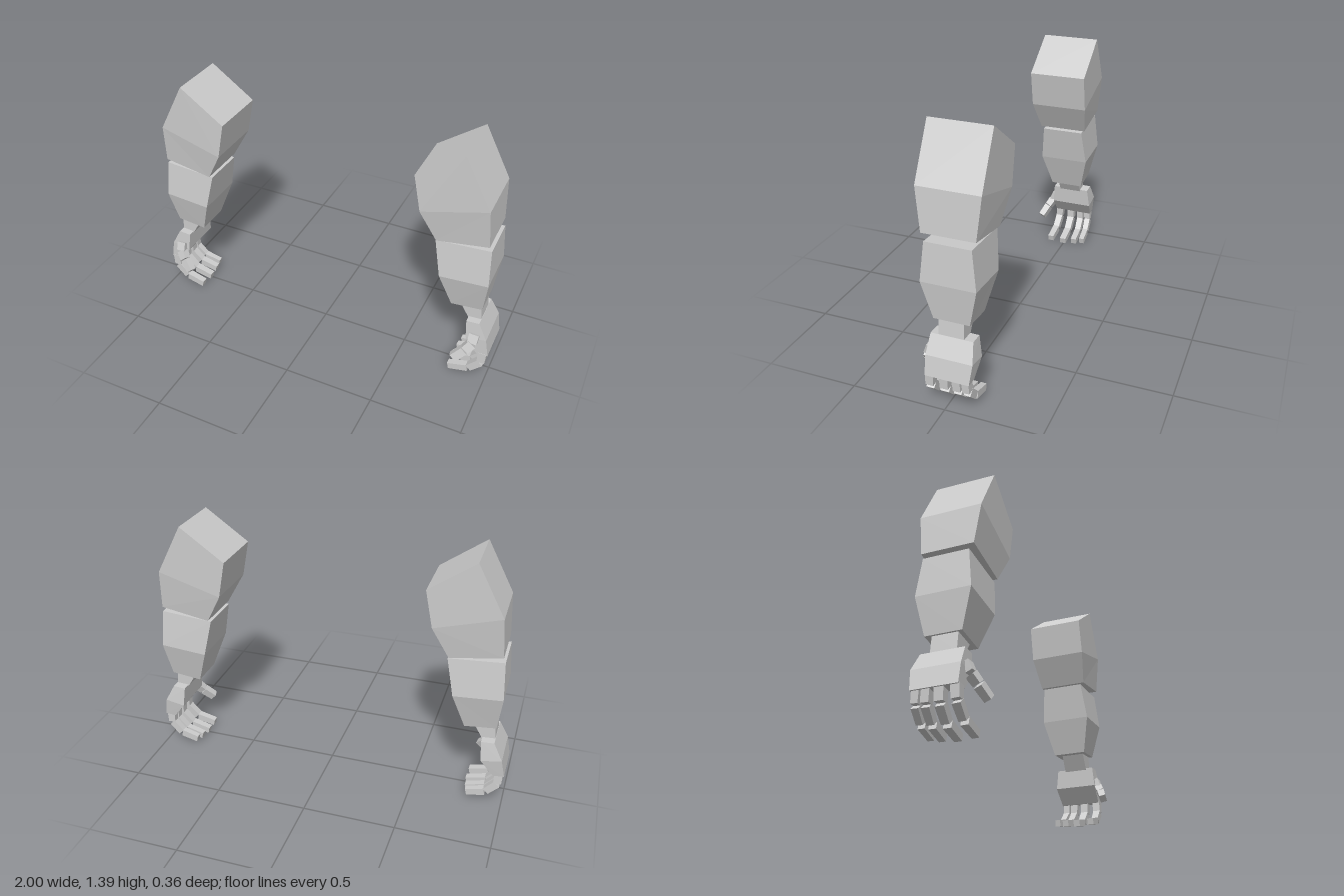
import * as THREE from 'three';

const material = new THREE.MeshStandardMaterial({ color: 0xcccccc, flatShading: true });

// Four-sided solid from sections [innerX, innerY, outerX, outerY, frontZ, backZ], listed top to bottom
function loft(sections) {
  const pos = [], index = [];
  for (const [ix, iy, ox, oy, f, b] of sections) {
    pos.push(ix, iy, f, ox, oy, f, ox, oy, b, ix, iy, b);
  }
  const quad = (a, b, c, d) => index.push(a, b, c, a, c, d);
  for (let s = 0; s < sections.length - 1; s++) {
    for (let i = 0; i < 4; i++) {
      const j = (i + 1) % 4, t = s * 4, u = t + 4;
      quad(u + i, u + j, t + j, t + i);
    }
  }
  const e = (sections.length - 1) * 4;
  quad(0, 1, 2, 3);
  quad(e + 3, e + 2, e + 1, e);
  const g = new THREE.BufferGeometry();
  g.setAttribute('position', new THREE.Float32BufferAttribute(pos, 3));
  g.setIndex(index);
  return finish(g);
}

function finish(g) {
  const flat = g.toNonIndexed();
  flat.deleteAttribute('uv');
  flat.computeVertexNormals();
  return flat;
}

// Tapered box running from a to b; thick is measured in the bending plane, wide across it
function bone(a, b, thick, wide, taper) {
  const dir = new THREE.Vector3().subVectors(b, a);
  const g = new THREE.BoxGeometry(thick, dir.length(), wide);
  const p = g.attributes.position;
  for (let i = 0; i < p.count; i++) {
    if (p.getY(i) > 0) p.setXYZ(i, p.getX(i) * taper, p.getY(i), p.getZ(i) * taper);
  }
  const y = dir.normalize();
  const x = new THREE.Vector3().crossVectors(y, new THREE.Vector3(0, 0, 1)).normalize();
  const z = new THREE.Vector3().crossVectors(x, y);
  const m = new THREE.Matrix4().makeBasis(x, y, z);
  m.setPosition(a.clone().add(b).multiplyScalar(0.5));
  return finish(g.applyMatrix4(m));
}

// Chain of bones along a path with small gaps at the joints
function digit(name, points, thick, wide) {
  const parts = [];
  for (let i = 0; i < points.length - 1; i++) {
    const a = points[i].clone().lerp(points[i + 1], i ? 0.05 : 0);
    const b = points[i].clone().lerp(points[i + 1], 0.96);
    const k = 1 - 0.06 * i;
    parts.push([name + 'Segment' + (i + 1), bone(a, b, thick * k, wide * k, 0.92)]);
  }
  return parts;
}

// Mirror across x, swapping corners so that faces keep pointing outward
function mirrored(geometry) {
  const g = geometry.clone(), p = g.attributes.position;
  const v = [0, 1, 2].map(() => new THREE.Vector3());
  for (let i = 0; i < p.count; i += 3) {
    v.forEach((q, k) => q.fromBufferAttribute(p, i + k));
    [v[0], v[2], v[1]].forEach((q, k) => p.setXYZ(i + k, -q.x, q.y, q.z));
  }
  g.computeVertexNormals();
  return g;
}

export function createModel() {
  const parts = [
    ['upperArm', loft([
      [0.53, 1.23, 0.77, 1.40, 0.138, -0.182],
      [0.57, 1.03, 0.914, 1.13, 0.14, -0.182],
      [0.66, 0.865, 0.93, 0.91, 0.115, -0.157]])],
    ['forearm', loft([
      [0.652, 0.853, 0.94, 0.875, 0.097, -0.14],
      [0.695, 0.65, 0.953, 0.67, 0.12, -0.162],
      [0.763, 0.452, 0.93, 0.47, 0.072, -0.115]])],
    ['wrist', loft([
      [0.80, 0.47, 0.92, 0.48, 0.05, -0.082],
      [0.86, 0.37, 0.93, 0.37, 0.05, -0.082]])],
    ['palm', loft([
      [0.86, 0.38, 0.93, 0.385, 0.09, -0.13],
      [0.87, 0.27, 0.98, 0.29, 0.098, -0.145],
      [0.94, 0.18, 1.0, 0.185, 0.098, -0.132]])],
  ];

  // Fingers: [name, z at knuckle, z at tip, length scale, width]
  const curl = [[0, 0.01], [-0.002, -0.06], [-0.068, -0.128], [-0.185, -0.156]];
  const fingers = [
    ['indexFinger', 0.078, 0.088, 0.98, 0.044],
    ['middleFinger', 0.004, 0.004, 1, 0.046],
    ['ringFinger', -0.06, -0.068, 0.96, 0.042],
    ['littleFinger', -0.108, -0.12, 0.91, 0.038],
  ];
  for (const [name, z0, z1, k, w] of fingers) {
    const path = curl.map(([x, y], i) =>
      new THREE.Vector3(0.97 + x * k, 0.18 + y * k, z0 + (z1 - z0) * i / 3));
    parts.push(...digit(name, path, 0.046, w));
  }

  // Thumb, reaching forward and inward
  const thumb = [[0.915, 0.31, 0.09], [0.912, 0.26, 0.112], [0.88, 0.22, 0.135], [0.825, 0.165, 0.163]];
  parts.push(...digit('thumb', thumb.map(p => new THREE.Vector3(...p)), 0.055, 0.046));

  const model = new THREE.Group();
  model.name = 'armPair';
  for (const side of ['left', 'right']) {
    const arm = new THREE.Group();
    arm.name = side + 'Arm';
    for (const [name, geometry] of parts) {
      const mesh = new THREE.Mesh(side === 'left' ? geometry : mirrored(geometry), material);
      mesh.name = name;
      arm.add(mesh);
    }
    model.add(arm);
  }
  return model;
}
